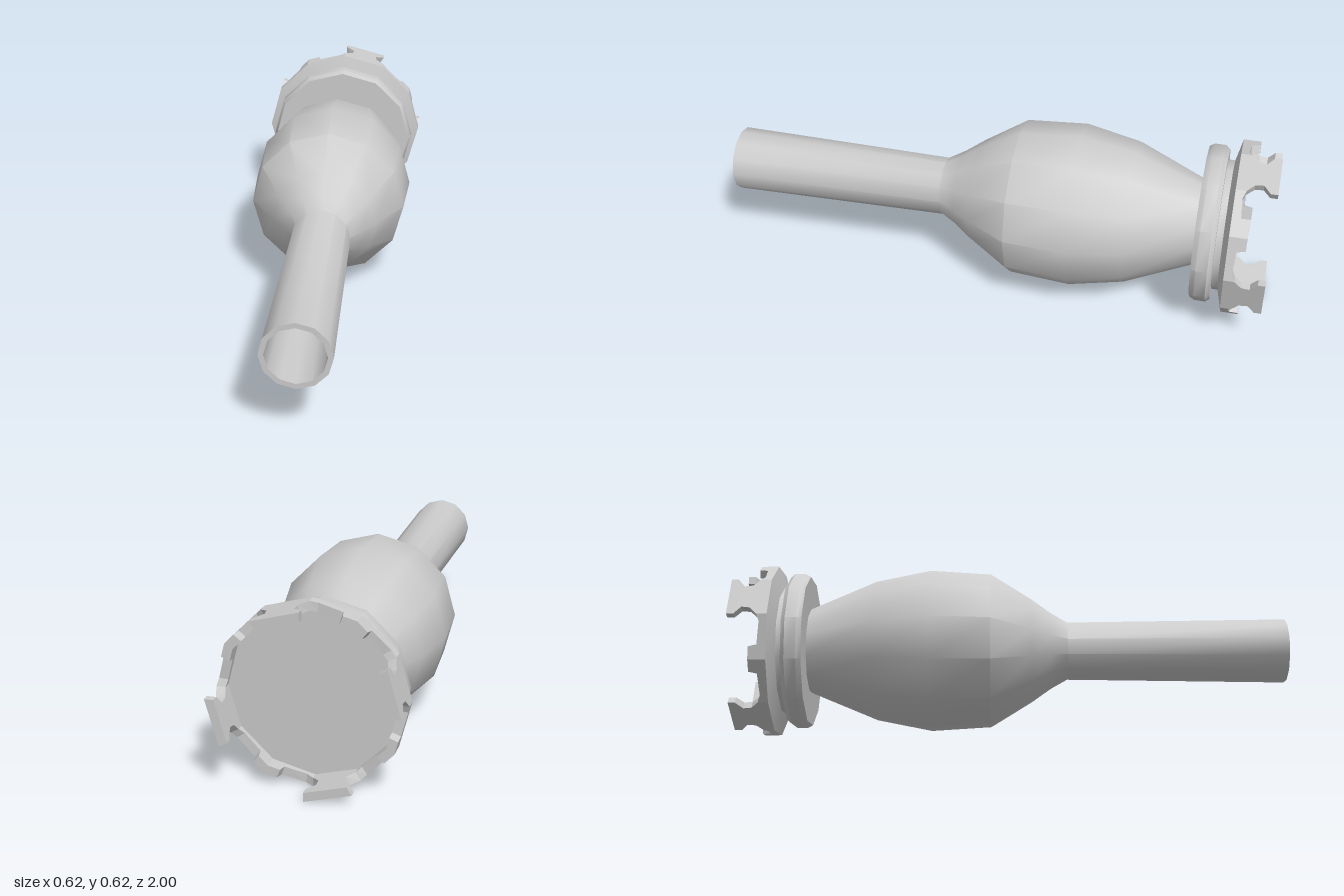
import * as THREE from 'three';
import { toCreasedNormals } from 'three/addons/utils/BufferGeometryUtils.js';

const SIDES = 12, RADIUS = 0.3125, AXIS_Y = 0.3125;
const STEP = (Math.PI * 2) / SIDES;
const HALF = RADIUS * Math.sin(STEP / 2);      // half width of one crown side
const APOTHEM = RADIUS * Math.cos(STEP / 2);
const WALL = 0.03;

export function createModel() {
  const group = new THREE.Group();
  const mat = new THREE.MeshStandardMaterial({ color: 0xcccccc });

  const add = (name, geometry, parent = group) => {
    const mesh = new THREE.Mesh(geometry, mat);
    mesh.name = name;
    parent.add(mesh);
  };

  // Turned part along z; profile is [radius, z] with z rising on the outside
  const turned = (name, profile) => {
    const g = new THREE.LatheGeometry(profile.map(([r, z]) => new THREE.Vector2(r, z)), SIDES);
    g.rotateX(Math.PI / 2).translate(0, AXIS_Y, 0);
    add(name, toCreasedNormals(g, 0.68));
  };

  // Hollow handle flowing into the bulging body
  turned('handleAndBody', [
    [0.152, -0.75], [0.257, -0.5], [0.297, -0.3], [0.283, -0.08], [0.19, 0.07],
    [0.14, 0.14], [0.106, 0.2], [0.117, 1], [0.099, 1], [0.09, 0.25], [0, 0.25],
  ]);

  // Bevelled disc behind the body
  turned('flange', [
    [0, -0.815], [0.272, -0.815], [0.285, -0.8], [0.285, -0.76], [0.275, -0.742], [0, -0.742],
  ]);

  // Short neck flaring out to the crown floor
  turned('crownBase', [
    [0, -0.87], [0.3, -0.87], [RADIUS, -0.858], [0.235, -0.838], [0.235, -0.8],
  ]);

  // Crown wall: one flat mitred plate per side, outline in [across, distance back]
  const crown = new THREE.Group();
  crown.name = 'crown';
  crown.position.y = AXIS_Y;
  group.add(crown);

  const plate = (name, outline, angle) => {
    const shape = new THREE.Shape(outline.map(([u, v]) => new THREE.Vector2(u, v)));
    const g = new THREE.ExtrudeGeometry(shape, { depth: WALL, bevelEnabled: false });
    const p = g.attributes.position;
    const c = Math.cos(angle), s = Math.sin(angle);
    for (let i = 0; i < p.count; i++) {
      const w = APOTHEM - WALL + p.getZ(i);
      const u = (p.getX(i) * w) / APOTHEM;
      p.setXYZ(i, c * w + s * u, s * w - c * u, -p.getY(i));
    }
    g.computeVertexNormals();
    add(name, g, crown);
  };

  // Prong: narrow waist and a wide tip
  const prong = [
    [-HALF, 0.858], [HALF, 0.858], [HALF, 0.895], [0.052, 0.92], [0.048, 0.95],
    [HALF, 0.975], [HALF, 1], [-HALF, 1], [-HALF, 0.975], [-0.048, 0.95], [-0.052, 0.92], [-HALF, 0.895],
  ];
  // Low wall with half a tooth at one end
  const notch = (side) => [
    [-HALF, 0.858], [HALF, 0.858], [HALF, 0.92], [0.035, 0.92], [0.028, 0.89],
    [-0.055, 0.885], [-HALF, 0.895],
  ].map(([u, v]) => [u * side, v]);

  for (let k = 0; k < 4; k++) {
    const start = (k * Math.PI) / 2;
    plate('crownNotch', notch(-1), start + STEP * 0.5);
    plate('crownNotch', notch(1), start + STEP * 1.5);
    plate('crownProng', prong, start + STEP * 2.5);
  }
  return group;
}
